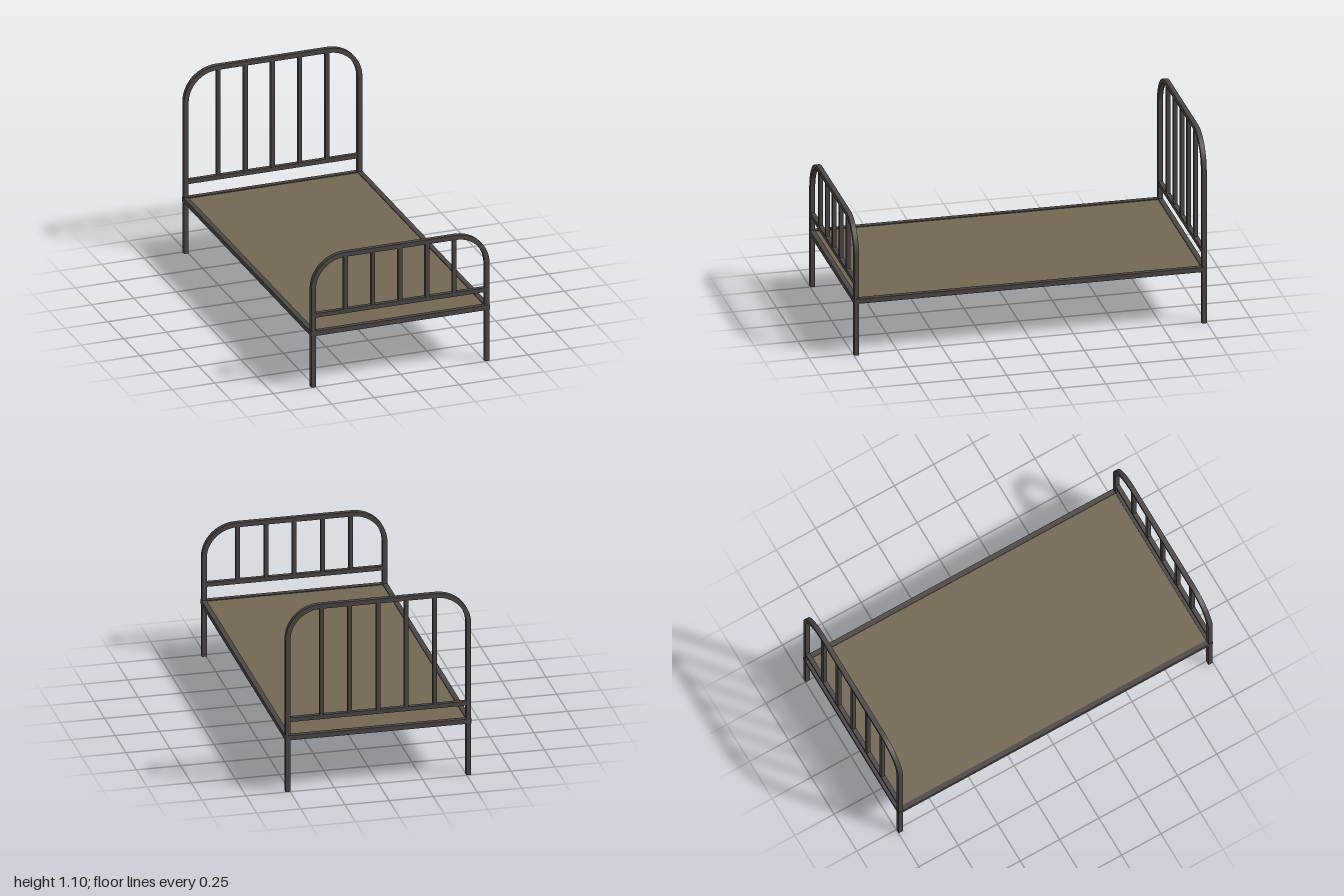
import * as THREE from 'three';

const T = 0.027;        // square tube thickness
const W = 0.525;        // half width of the bed ends
const R = 0.197;        // outer corner radius of the arches

export function createModel() {
  const metal = new THREE.MeshStandardMaterial({ color: 0x4b4746 });
  metal.name = 'dark metal';
  const canvas = new THREE.MeshStandardMaterial({ color: 0x736852 });
  canvas.name = 'olive canvas';

  const bed = new THREE.Group();
  bed.name = 'bed';

  function box(parent, name, material, w, h, d, x, y, z) {
    const mesh = new THREE.Mesh(new THREE.BoxGeometry(w, h, d), material);
    mesh.name = name;
    mesh.position.set(x, y, z);
    parent.add(mesh);
  }

  // Legs and rounded arch in one continuous square tube
  function archGeometry(height) {
    const cx = W - R, cy = height - R, w = W - T;
    const s = new THREE.Shape();
    s.moveTo(W, 0);
    s.lineTo(W, cy);
    s.absarc(cx, cy, R, 0, Math.PI / 2, false);
    s.lineTo(-cx, height);
    s.absarc(-cx, cy, R, Math.PI / 2, Math.PI, false);
    s.lineTo(-W, 0);
    s.lineTo(-w, 0);
    s.lineTo(-w, cy);
    s.absarc(-cx, cy, R - T, Math.PI, Math.PI / 2, true);
    s.lineTo(cx, height - T);
    s.absarc(cx, cy, R - T, Math.PI / 2, 0, true);
    s.lineTo(w, 0);
    s.closePath();
    const g = new THREE.ExtrudeGeometry(s, { depth: T, bevelEnabled: false, curveSegments: 16 });
    return g.translate(0, 0, -T / 2);
  }

  // Bed end: arch, lower rail and five upright bars
  function bedEnd(name, height, z) {
    const end = new THREE.Group();
    end.name = name;
    end.position.z = z;
    const arch = new THREE.Mesh(archGeometry(height), metal);
    arch.name = 'archAndLegs';
    end.add(arch);
    box(end, 'lowerRail', metal, 2 * (W - T), 0.025, 0.025, 0, 0.428, 0);
    const bottom = 0.44, top = height - T;
    for (let i = -2; i <= 2; i++) {
      box(end, 'uprightBar', metal, 0.023, top - bottom, 0.023, i * 0.16, (top + bottom) / 2, 0);
    }
    bed.add(end);
  }
  bedEnd('headboard', 1.102, -0.985);
  bedEnd('footboard', 0.782, 0.985);

  // Horizontal frame
  const frameY = 0.321;
  for (const s of [-1, 1]) {
    box(bed, 'sideRail', metal, 0.029, 0.028, 2, s * 0.5125, frameY, 0);
    box(bed, 'endRail', metal, 0.996, 0.028, 0.029, 0, frameY, s * 0.9855);
  }

  // Sleeping surface
  box(bed, 'bedBase', canvas, 0.996, 0.018, 1.942, 0, frameY, 0);

  return bed;
}
